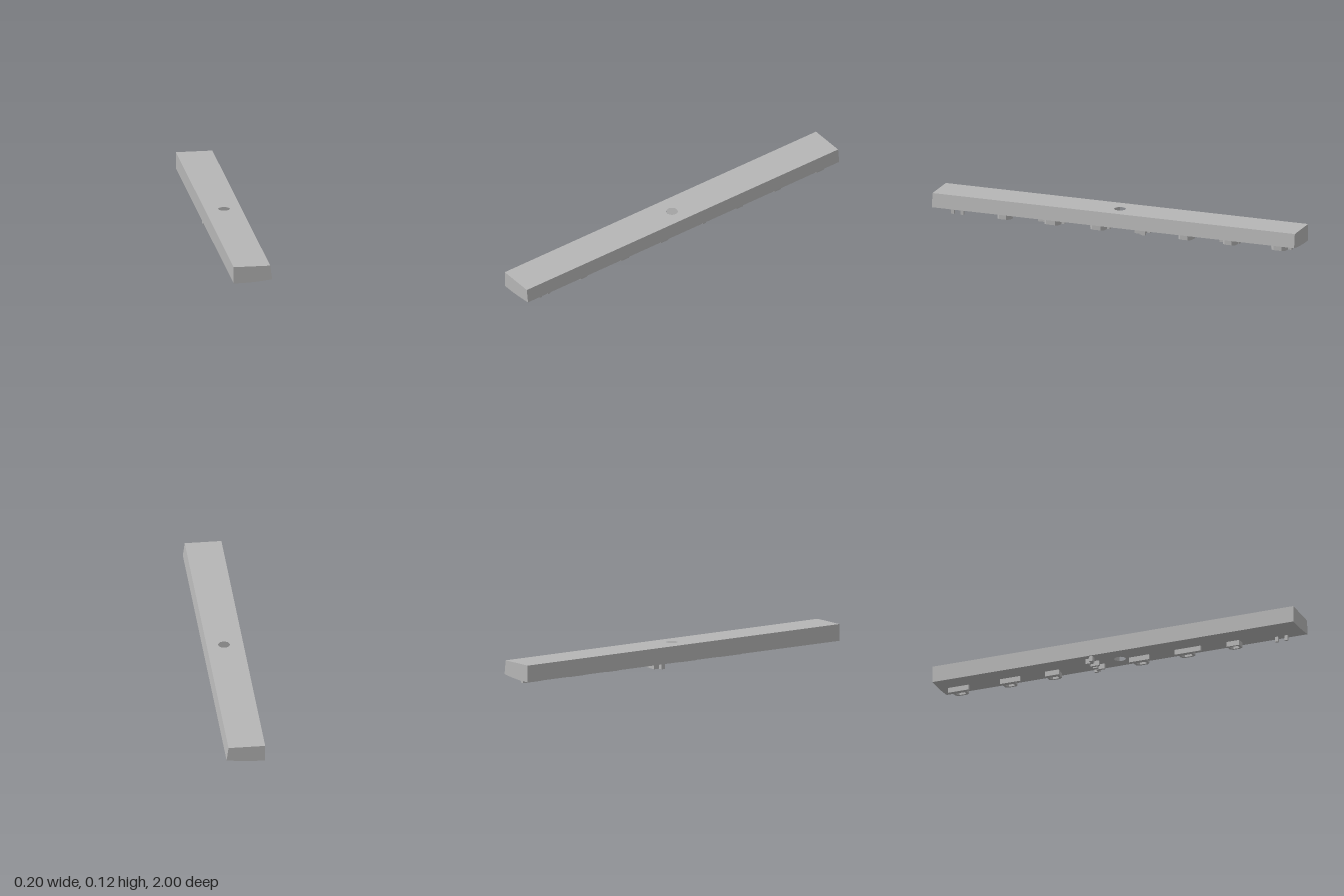
import * as THREE from 'three';

const TOP = 0.115, LUG = 0.0275;
// gently curved underside across the width
const under = (x) => LUG + 0.43 * Math.max(0, x + 0.08) ** 2;

// plan outline (x, z) raised between two height functions
function plan(shape, bottom, top, slant) {
  const g = new THREE.ExtrudeGeometry(shape, { depth: 1, bevelEnabled: false, curveSegments: 16 });
  g.rotateX(-Math.PI / 2);
  const p = g.attributes.position;
  for (let i = 0; i < p.count; i++) {
    const x = p.getX(i), upper = p.getY(i) > 0.5;
    p.setY(i, upper ? top(x) : bottom(x));
    if (slant && upper && x > 0.099) p.setX(i, 0.09);
  }
  g.computeVertexNormals();
  return g;
}

const poly = (pts) => new THREE.Shape(pts.map(([x, z]) => new THREE.Vector2(x, -z)));
const rect = (x0, x1, z0, z1) => [[x0, z0], [x1, z0], [x1, z1], [x0, z1]];
const chamfered = (x0, x1, z0, z1, c) => [
  [x0, z0], [x1 - c, z0], [x1, z0 + c], [x1, z1 - c], [x1 - c, z1], [x0, z1],
];

export function createModel() {
  const group = new THREE.Group();
  const grey = new THREE.MeshStandardMaterial({ color: 0xb6b6b6 });
  grey.name = 'grey';
  const add = (name, geometry) => {
    const mesh = new THREE.Mesh(geometry, grey);
    mesh.name = name;
    group.add(mesh);
    return mesh;
  };

  // long bar in two lengths, either side of the drilled section
  const steps = 12, half = 0.04;
  const xs = Array.from({ length: steps + 1 }, (_, i) => -0.1 + (0.2 * i) / steps);
  const profile = new THREE.Shape([
    ...xs.map((x) => new THREE.Vector2(x, under(x))),
    new THREE.Vector2(0.09, TOP),
    new THREE.Vector2(-0.1, TOP),
  ]);
  for (const [name, z] of [['frontBar', half], ['backBar', -1]]) {
    const g = new THREE.ExtrudeGeometry(profile, { depth: 1 - half, bevelEnabled: false });
    add(name, g.translate(0, 0, z));
  }

  // middle section with the through hole
  const middle = poly([...xs.map((x) => [x, -half]), ...xs.map((x) => [x, half]).reverse()]);
  middle.holes.push(new THREE.Path().absarc(0, 0, 0.03, 0, Math.PI * 2, true));
  add('drilledSection', plan(middle, under, () => TOP, true));

  // raised details hang below the curved underside
  const lug = (name, pts, hole) => {
    const s = poly(pts);
    if (hole) s.holes.push(new THREE.Path(hole.map(([x, z]) => new THREE.Vector2(x, -z))));
    add(name, plan(s, (x) => under(x) - LUG, (x) => under(x) + 0.002, false));
  };
  const ring = (x0, x1, z0, z1) =>
    lug('ringLug', chamfered(x0, x1, z0, z1, 0.015),
      chamfered(x0 + 0.013, x1 - 0.013, z0 + 0.013, z1 - 0.013, 0.008).reverse());

  // small round-ended posts near the front end
  for (const z of [0.897, 0.843]) lug('postLug', rect(0.058, 0.073, z - 0.008, z + 0.008));

  // plain ring
  ring(0.013, 0.073, 0.585, 0.655);

  // strips, each with a ring on its outer side: strip z range, ring z range
  const strips = [
    [0.3, 0.445, 0.315, 0.395],
    [0.05, 0.16, 0.065, 0.14],
    [-0.415, -0.34, -0.415, -0.345],
    [-0.665, -0.555, -0.66, -0.59],
    [-0.955, -0.84, -0.935, -0.86],
  ];
  for (const [a, b, c, d] of strips) {
    lug('stripLug', rect(0.002, 0.018, a, b));
    ring(0.017, 0.073, c, d);
  }

  // crosswise row beside the hole
  const row = [
    [-0.093, -0.068, -0.135, -0.115],
    [-0.068, 0.0, -0.165, -0.152],
    [-0.068, -0.055, -0.152, -0.125],
    [-0.028, -0.014, -0.152, -0.105],
    [0.0, 0.018, -0.15, -0.125],
    [0.025, 0.04, -0.13, -0.095],
    [0.025, 0.06, -0.145, -0.13],
    [0.058, 0.073, -0.165, -0.145],
  ];
  for (const r of row) lug('crossRowLug', rect(...r));

  return group;
}
